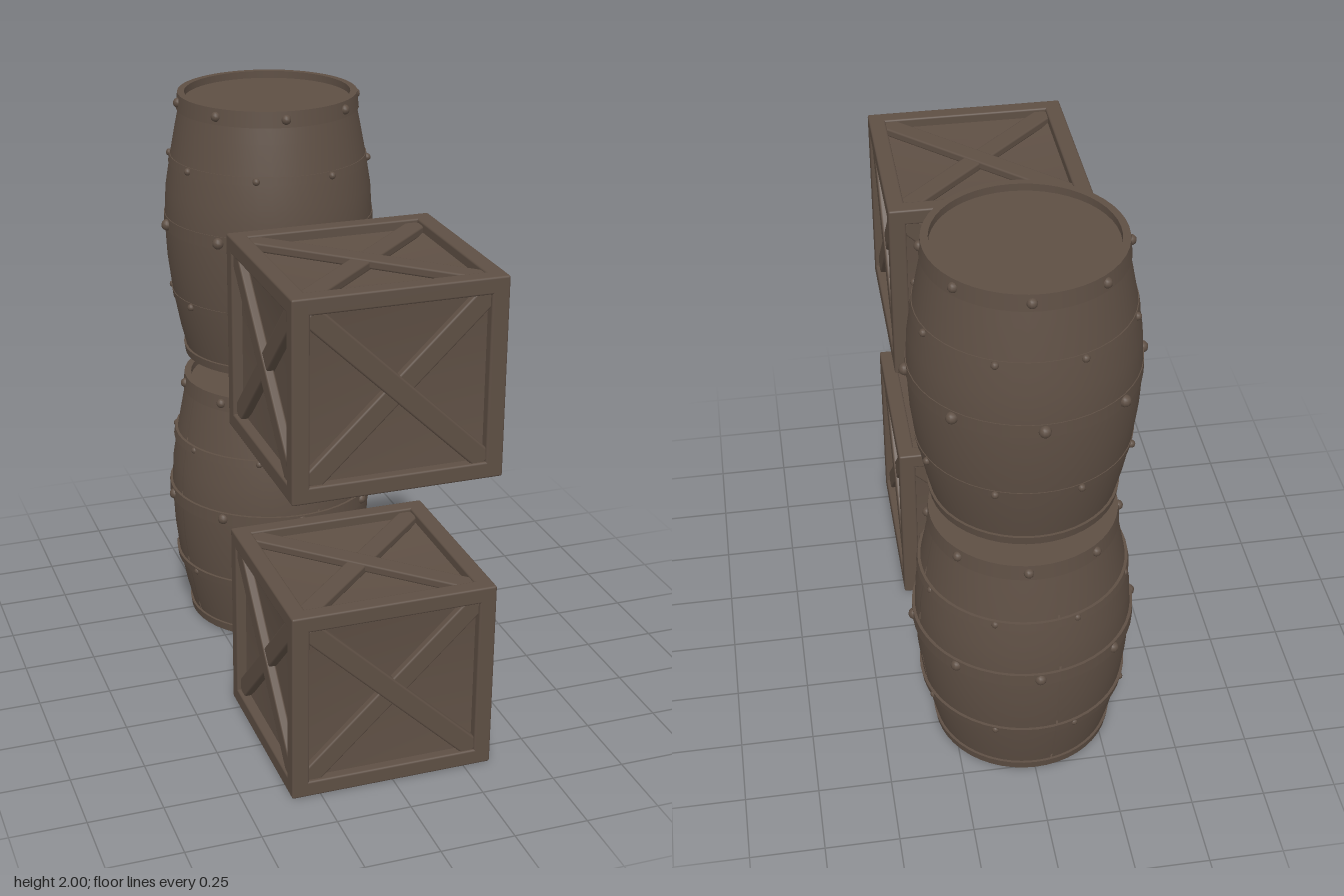
import * as THREE from 'three';
import { RoundedBoxGeometry } from 'three/addons/geometries/RoundedBoxGeometry.js';

const wood = new THREE.MeshStandardMaterial({ color: 0x5e4f44, side: THREE.DoubleSide });
wood.name = 'darkWood';

function add(parent, geometry, name) {
  const mesh = new THREE.Mesh(geometry, wood);
  mesh.name = name;
  parent.add(mesh);
  return mesh;
}

// Barrel outline: [radius, height above the barrel's base]
const outline = [[0.297, 0.01], [0.322, 0.11], [0.345, 0.23], [0.361, 0.36], [0.368, 0.5],
  [0.361, 0.62], [0.343, 0.73], [0.322, 0.84], [0.303, 0.93]];

function radiusAt(y) {
  for (let i = 1; i < outline.length; i++) {
    const [r0, y0] = outline[i - 1], [r1, y1] = outline[i];
    if (y <= y1) return r0 + (r1 - r0) * Math.max(0, (y - y0) / (y1 - y0));
  }
  return outline[outline.length - 1][0];
}

function lathe(points, start = 0, sweep = Math.PI * 2, segments = 48) {
  return new THREE.LatheGeometry(points.map(([r, y]) => new THREE.Vector2(r, y)), segments, start, sweep);
}

// Flat-edged metal band, as four separate lathed faces so the edges stay sharp
function band(parent, name, y0, y1, rOut0, rOut1, rIn) {
  const corners = [[rIn, y0], [rOut0, y0], [rOut1, y1], [rIn, y1], [rIn, y0]];
  const group = new THREE.Group();
  group.name = name;
  for (let i = 0; i < 4; i++) add(group, lathe([corners[i], corners[i + 1]]), name + 'Face');
  parent.add(group);
}

function rivets(parent, y, radius, size, offset) {
  for (let i = 0; i < 8; i++) {
    const a = THREE.MathUtils.degToRad(offset + i * 45);
    add(parent, new THREE.SphereGeometry(size, 10, 8), 'rivet')
      .position.set(Math.sin(a) * radius, y, Math.cos(a) * radius);
  }
}

function barrel(name, staved, hoopRise) {
  const g = new THREE.Group();
  g.name = name;
  if (staved) {
    // Four curved stave panels over a slightly smaller core
    add(g, lathe(outline.map(([r, y]) => [r - 0.012, y])), 'core');
    const gap = 0.02;
    for (let i = 0; i < 4; i++) {
      const start = THREE.MathUtils.degToRad(10) + i * Math.PI / 2;
      add(g, lathe(outline, start + gap, Math.PI / 2 - gap, 14), 'stavePanel');
    }
  } else {
    add(g, lathe(outline), 'body');
  }
  // Recessed lid and base
  for (const [part, y, turn] of [['lid', 0.925, -1], ['base', 0.03, 1]]) {
    const disc = add(g, new THREE.CircleGeometry(0.296, 48), part);
    disc.rotation.x = turn * Math.PI / 2;
    disc.position.y = y;
  }
  // Rims
  band(g, 'topRim', 0.895, 0.95, 0.318, 0.312, 0.288);
  band(g, 'bottomRim', 0, 0.03, 0.306, 0.311, 0.285);
  rivets(g, 0.922, 0.314, 0.017, -6);
  // Hoops with rivets
  for (const [y, half, size, offset] of [[0.23, 0.014, 0.013, 21], [0.5, 0.023, 0.02, 0], [0.72, 0.014, 0.013, 21]]) {
    const r0 = radiusAt(y - half) + hoopRise, r1 = radiusAt(y + half) + hoopRise;
    band(g, 'hoop', y - half, y + half, r0, r1, Math.min(r0, r1) - 0.03);
    rivets(g, y, radiusAt(y) + 0.004, size, offset);
  }
  return g;
}

// Shallow hollow panel: four corners falling to a deeper centre, smooth-shaded
function hollowPanel(half, depth) {
  const g = new THREE.BufferGeometry();
  g.setAttribute('position', new THREE.Float32BufferAttribute([
    -half, -half, 0, half, -half, 0, half, half, 0, -half, half, 0, 0, 0, -depth], 3));
  g.setIndex([0, 1, 4, 1, 2, 4, 2, 3, 4, 3, 0, 4]);
  g.computeVertexNormals();
  return g;
}

function crate(name) {
  const g = new THREE.Group();
  g.name = name;
  const size = 0.67, half = size / 2, beam = 0.056, c = half - beam / 2;
  // Twelve frame beams, four along each axis
  for (let axis = 0; axis < 3; axis++) {
    for (const u of [-c, c]) for (const v of [-c, c]) {
      const dims = [beam, beam, beam], pos = [0, 0, 0];
      dims[axis] = size;
      pos[(axis + 1) % 3] = u;
      pos[(axis + 2) % 3] = v;
      add(g, new RoundedBoxGeometry(...dims, 2, 0.007), 'frameBeam').position.set(...pos);
    }
  }
  // Six faces, each a hollow panel with crossed braces
  const turns = [[0, 0], [0, Math.PI / 2], [0, Math.PI], [0, -Math.PI / 2], [-Math.PI / 2, 0], [Math.PI / 2, 0]];
  for (const [rx, ry] of turns) {
    const face = new THREE.Group();
    face.name = 'crateSide';
    face.rotation.set(rx, ry, 0);
    add(face, hollowPanel(half - 0.03, 0.06), 'panel').position.z = half - 0.028;
    for (const [turn, z] of [[-1, half - 0.022], [1, half - 0.027]]) {
      const brace = add(face, new RoundedBoxGeometry(0.79, 0.068, 0.03, 2, 0.007), 'brace');
      brace.rotation.z = turn * Math.PI / 4;
      brace.position.z = z;
    }
    g.add(face);
  }
  g.scale.set(1.03, 0.985, 0.99);
  return g;
}

export function createModel() {
  const model = new THREE.Group();
  model.name = 'barrelsAndCrates';

  const lowerBarrel = barrel('lowerBarrel', true, 0.01);
  lowerBarrel.position.set(0, 0.012, -0.462);
  const upperBarrel = barrel('upperBarrel', false, 0.003);
  upperBarrel.position.set(0, 1.05, -0.462);

  const lowerCrate = crate('lowerCrate');
  lowerCrate.position.set(-0.002, 0.336, 0.512);
  lowerCrate.rotation.x = 0.008;
  const upperCrate = crate('upperCrate');
  upperCrate.position.set(0, 1.38, 0.512);
  upperCrate.rotation.x = 0.005;

  model.add(lowerBarrel, upperBarrel, lowerCrate, upperCrate);
  return model;
}
